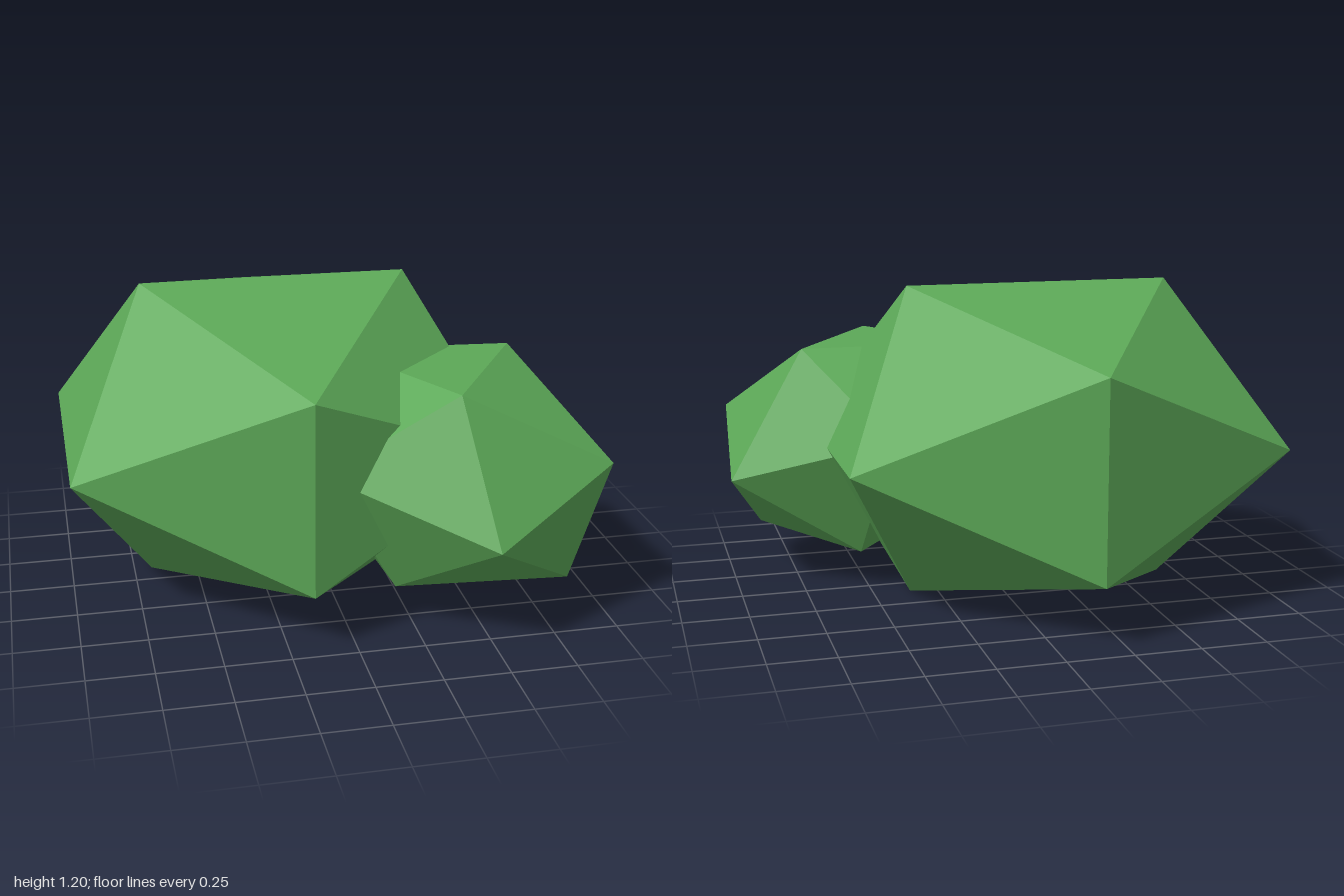
import * as THREE from 'three';

// One faceted foliage clump: a squashed, tilted icosahedron
function clump(name, material, scale, position, tilt = 0, turn = 0) {
  const mesh = new THREE.Mesh(new THREE.IcosahedronGeometry(1, 0), material);
  mesh.name = name;
  mesh.scale.set(...scale);
  mesh.position.set(...position);
  mesh.rotation.set(tilt, turn, 0, 'YXZ');
  return mesh;
}

export function createModel() {
  const leaf = new THREE.MeshStandardMaterial({ color: 0x5ca857, flatShading: true });
  leaf.name = 'leaf green';

  const bush = new THREE.Group();
  bush.name = 'bush';
  bush.add(
    clump('largeClump', leaf, [0.985, 0.708, 0.985], [-0.162, 0.603, -0.103]),
    clump('smallClump', leaf, [0.615, 0.489, 0.666], [0.457, 0.546, 0.328], 0.285, 1.008),
  );
  return bush;
}
